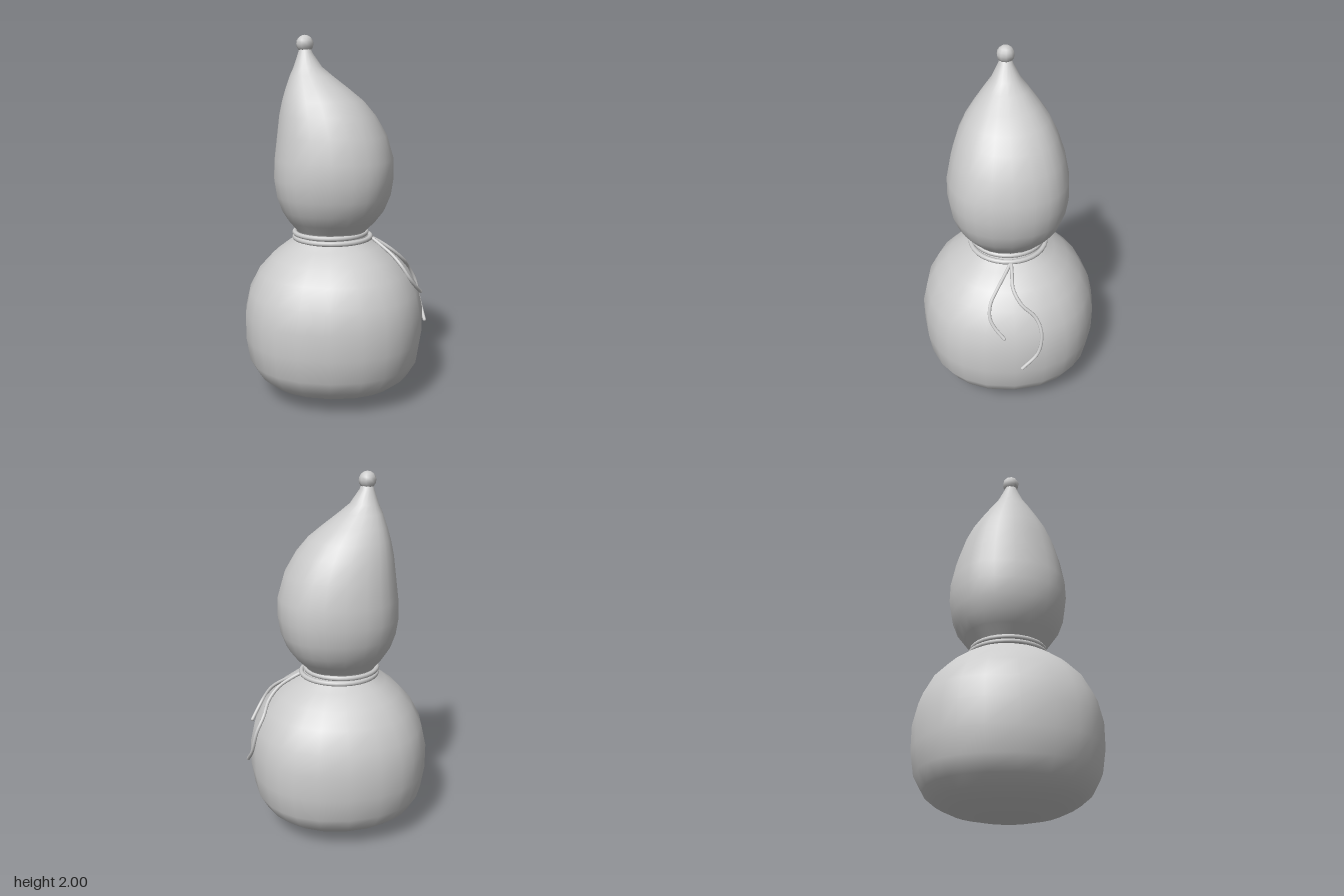
import * as THREE from 'three';

const material = new THREE.MeshStandardMaterial({ color: 0xcccccc });
const SIDES = 24;

// Rings of the gourd from bottom to top: [height, radius, centre x]
const RINGS = [
  [0.02, 0.17, -0.015], [0.05, 0.295, -0.015], [0.09, 0.38, -0.015],
  [0.14, 0.44, -0.015], [0.22, 0.485, -0.015], [0.35, 0.505, -0.015],
  [0.49, 0.505, -0.015], [0.61, 0.478, -0.015], [0.72, 0.42, -0.016],
  [0.8, 0.345, -0.018], [0.86, 0.265, -0.02], [0.895, 0.205, -0.025],
  [0.92, 0.185, -0.028], [0.95, 0.2, -0.027], [1.0, 0.246, -0.022],
  [1.06, 0.288, -0.018], [1.14, 0.318, -0.016], [1.235, 0.332, -0.016],
  [1.34, 0.329, -0.014], [1.47, 0.302, -0.025], [1.577, 0.264, -0.05],
  [1.656, 0.222, -0.075], [1.72, 0.173, -0.105], [1.788, 0.117, -0.137],
  [1.836, 0.077, -0.155], [1.91, 0.039, -0.168], [1.95, 0.025, -0.17],
];

// Slightly squarish rings joined into one smooth closed skin
function gourdGeometry() {
  const positions = [];
  const indices = [];
  for (const [y, radius, cx] of RINGS) {
    for (let i = 0; i < SIDES; i++) {
      const t = (i / SIDES) * Math.PI * 2;
      const angle = t + 0.09 * Math.sin(4 * t);
      const r = radius * (1 + 0.03 * Math.sin(2 * angle) ** 2);
      positions.push(cx + r * Math.cos(angle), y, -r * Math.sin(angle));
    }
  }
  const bottom = RINGS.length * SIDES;
  const top = bottom + 1;
  positions.push(-0.015, 0.004, 0, -0.17, 1.96, 0);
  const last = (RINGS.length - 1) * SIDES;
  for (let i = 0; i < SIDES; i++) {
    const j = (i + 1) % SIDES;
    indices.push(bottom, j, i, top, last + i, last + j);
    for (let k = 0; k < last; k += SIDES) {
      indices.push(k + i, k + j, k + SIDES + j, k + i, k + SIDES + j, k + SIDES + i);
    }
  }
  const geometry = new THREE.BufferGeometry();
  geometry.setAttribute('position', new THREE.Float32BufferAttribute(positions, 3));
  geometry.setIndex(indices);
  geometry.computeVertexNormals();
  return geometry;
}

export function createModel() {
  const group = new THREE.Group();
  const add = (name, geometry, x = 0, y = 0, z = 0) => {
    const mesh = new THREE.Mesh(geometry, material);
    mesh.name = name;
    mesh.position.set(x, y, z);
    group.add(mesh);
    return mesh;
  };

  add('gourdBody', gourdGeometry());
  add('stemKnob', new THREE.SphereGeometry(0.047, 10, 8), -0.17, 1.957, 0);

  // Cord wound twice around the waist
  for (const [name, radius, x, y] of [
    ['lowerCordLoop', 0.213, -0.022, 0.903],
    ['upperCordLoop', 0.201, -0.034, 0.929],
  ]) {
    add(name, new THREE.TorusGeometry(radius, 0.014, 8, 32), x, y, 0).rotation.x = Math.PI / 2;
  }

  // Loose cord ends trailing down the left side
  const cordEnd = (name, points) => {
    const curve = new THREE.CatmullRomCurve3(points.map((p) => new THREE.Vector3(...p)));
    add(name, new THREE.TubeGeometry(curve, 28, 0.01, 8));
    // Rounded tips close both tube ends
    for (const p of [points[0], points[points.length - 1]]) {
      add(name + 'Tip', new THREE.SphereGeometry(0.01, 8, 6), ...p);
    }
  };
  cordEnd('shortCordEnd', [
    [0.19, 0.9, 0], [0.235, 0.87, 0.03], [0.312, 0.815, 0.085], [0.365, 0.76, 0.125],
    [0.405, 0.7, 0.133], [0.435, 0.655, 0.112], [0.475, 0.6, 0.06],
  ]);
  cordEnd('longCordEnd', [
    [0.19, 0.9, 0], [0.25, 0.868, 0], [0.32, 0.82, 0], [0.38, 0.757, -0.04],
    [0.415, 0.69, -0.115], [0.456, 0.61, -0.145], [0.484, 0.49, -0.125], [0.508, 0.4, -0.037],
  ]);

  return group;
}
